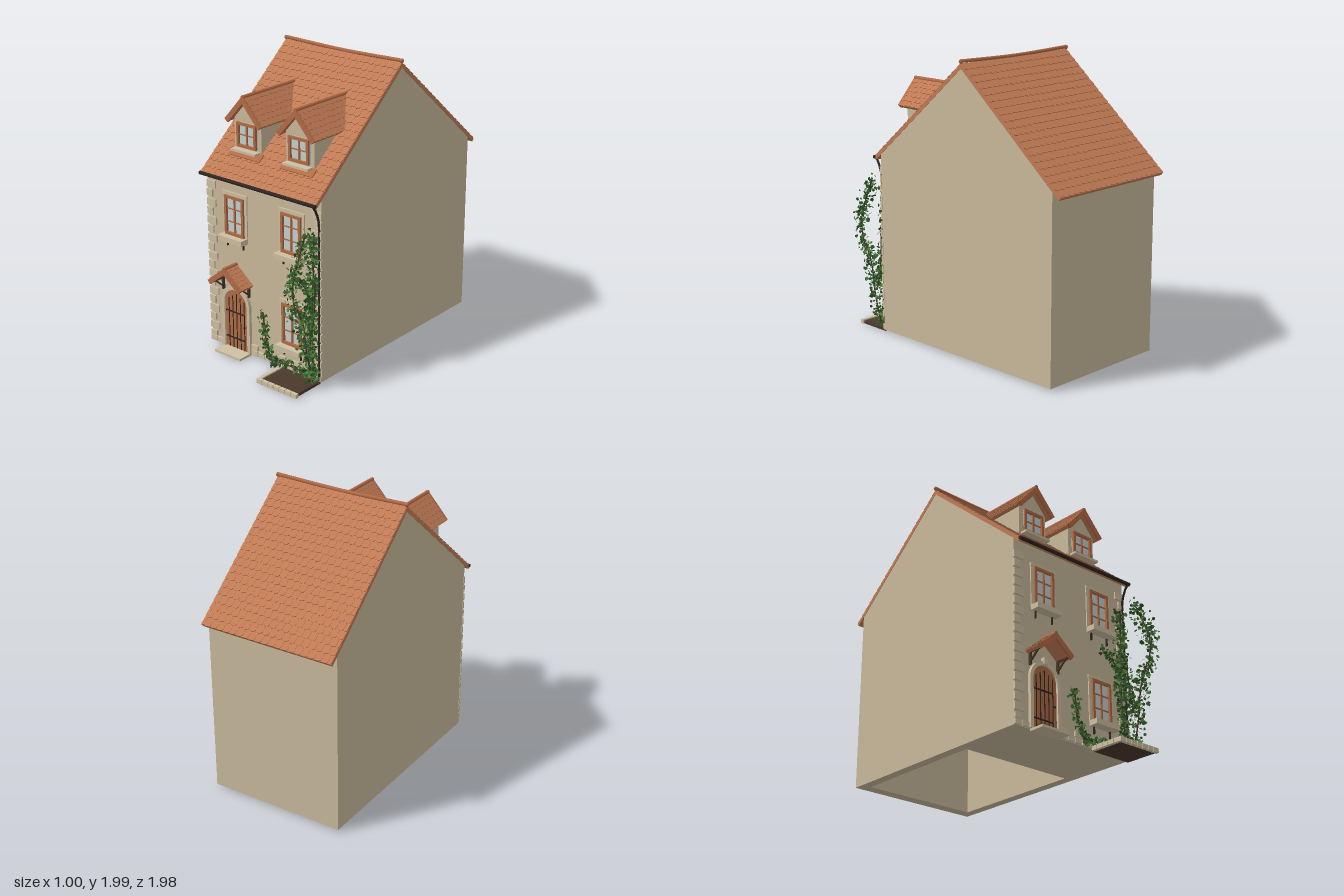
import * as THREE from 'three';
import { mergeGeometries } from 'three/addons/utils/BufferGeometryUtils.js';

const mat = (name, color, extra = {}) => {
  const m = new THREE.MeshStandardMaterial({ color, ...extra });
  m.name = name;
  return m;
};
const M = {
  wall: mat('plaster', 0xc9b99b),
  stone: mat('stone', 0xcfc0a2),
  tile: mat('roof tile', 0xc17b54),
  trim: mat('ridge tile', 0xb56c47),
  wood: mat('painted wood', 0xb06c45),
  glass: mat('glass', 0xc6d0ce),
  iron: mat('iron', 0x2e2622),
  soil: mat('soil', 0x4b382b),
  leaf: mat('leaf green', 0x4a7a38, { side: THREE.DoubleSide }),
  darkLeaf: mat('dark leaf green', 0x2f5527, { side: THREE.DoubleSide }),
};
let seed = 7;
const rnd = () => (seed = (seed * 16807) % 2147483647) / 2147483647;
const spread = (a) => (rnd() + rnd() - 1) * a;
const merge = (list) => mergeGeometries(list.map((g) => (g.index ? g.toNonIndexed() : g)));
const box = (x, y, z, w, h, d) => new THREE.BoxGeometry(w, h, d).translate(x, y, z);
const poly = (pts) => new THREE.Shape(pts.map((p) => new THREE.Vector2(...p)));
const extrude = (shape, depth, seg = 8) =>
  new THREE.ExtrudeGeometry(shape, { depth, bevelEnabled: false, curveSegments: seg });
const tube = (pts, r, seg = 20) =>
  new THREE.TubeGeometry(new THREE.CatmullRomCurve3(pts.map((p) => new THREE.Vector3(...p))), seg, r, 6);
const add = (parent, name, geo, m) => {
  const mesh = new THREE.Mesh(Array.isArray(geo) ? merge(geo) : geo, m);
  mesh.name = name;
  parent.add(mesh);
  return mesh;
};
const F = 0.65, BACK = -0.92, RIDGE_Z = -0.14, RIDGE_Y = 1.955, PITCH = 0.7;

// Sheet of round-ended tiles: x across, +z downslope, top at y = 0
function tiledSlope(w, len, cols, rows) {
  const cw = w / cols, rl = len / rows, out = [box(0, -0.012, len / 2, w, 0.022, len)];
  for (let r = 0; r < rows; r++) {
    const shift = (r % 2) * 0.5;
    for (let c = 0; c < cols + shift; c++) {
      const a = Math.max(-w / 2, -w / 2 + (c - shift) * cw);
      const b = Math.min(w / 2, -w / 2 + (c + 1 - shift) * cw);
      const h = (b - a) / 2 - 0.0006, L = rl * 1.05;
      const s = new THREE.Shape();
      s.moveTo(-h, 0).lineTo(h, 0).lineTo(h, L * 0.8);
      s.quadraticCurveTo(h * 0.7, L, 0, L).quadraticCurveTo(-h * 0.7, L, -h, L * 0.8);
      out.push(extrude(s, 0.005, 2).rotateX(Math.PI / 2).rotateX(-0.08)
        .translate((a + b) / 2, 0.003, r * rl));
    }
  }
  return merge(out);
}

// Small front-facing gable roof with ridge, verge boards and ball finial
function gableRoof(parent, name, cx, apex, zFront, depth, angle, len) {
  const g = new THREE.Group();
  g.name = name;
  g.position.set(cx, apex, zFront);
  for (const s of [-1, 1]) {
    const slope = tiledSlope(depth, len, Math.max(3, Math.round(depth / 0.045)), 6);
    add(g, 'tiledSlope', slope.rotateX(angle).rotateY(s * Math.PI / 2).translate(0, 0, -depth / 2), M.tile);
    add(g, 'vergeBoard', box(0, -0.012, len / 2, 0.016, 0.034, len)
      .rotateX(angle).rotateY(s * Math.PI / 2).translate(0, 0, 0), M.trim);
  }
  add(g, 'ridge', new THREE.CylinderGeometry(0.013, 0.013, depth + 0.012, 8)
    .rotateX(Math.PI / 2).translate(0, 0, -depth / 2), M.trim);
  parent.add(g);
}

// Casement window with glazing bars, stone surround and sill
function windowUnit(parent, cx, y0, y1, w, z, rows, sillW) {
  const g = new THREE.Group(), h = y1 - y0, t = 0.018;
  g.name = 'window';
  g.position.set(cx, y0, z);
  add(g, 'glass', box(0, h / 2, 0.003, w, h, 0.006), M.glass);
  const bars = [-1, 1].map((s) => box(s * (w / 2 - t / 2), h / 2, 0.01, t, h, 0.024));
  for (const y of [t / 2, h - t / 2]) bars.push(box(0, y, 0.01, w, t, 0.024));
  bars.push(box(0, h / 2, 0.007, 0.012, h, 0.016));
  for (let i = 1; i < rows; i++) bars.push(box(0, h * i / rows, 0.006, w, 0.007, 0.014));
  add(g, 'frame', bars, M.wood);
  add(g, 'sill', box(0, -0.018, 0.03, sillW, rows > 2 ? 0.036 : 0.016, rows > 2 ? 0.075 : 0.05), M.stone);
  if (rows > 2) {
    const sur = [-1, 1].map((s) => box(s * (w / 2 + 0.011), h / 2, 0.002, 0.022, h, 0.012));
    sur.push(box(0, h + 0.012, 0.003, w + 0.05, 0.024, 0.016));
    add(g, 'surround', sur, M.stone);
    add(g, 'sillBrackets', [-1, 1].map((s) => box(s * 0.07, -0.06, 0.008, 0.006, 0.05, 0.014)), M.iron);
  }
  parent.add(g);
}

const arch = (w, h) => {
  const s = new THREE.Shape();
  s.moveTo(-w, 0).lineTo(w, 0).lineTo(w, h - w);
  s.absarc(0, h - w, w, 0, Math.PI, false);
  s.lineTo(-w, 0);
  return s;
};

// Leaves scattered along a path
function ivy(parent, pts, n, sp, r) {
  const curve = new THREE.CatmullRomCurve3(pts.map((p) => new THREE.Vector3(...p)));
  const sets = [[], []];
  for (let i = 0; i < n; i++) {
    const p = curve.getPoint(rnd());
    sets[rnd() < 0.5 ? 0 : 1].push(new THREE.CircleGeometry(r * (0.6 + rnd() * 0.6), 5)
      .rotateX(spread(1.6)).rotateY(rnd() * 6.28)
      .translate(Math.min(0.478, p.x + spread(sp[0])), Math.max(0.015, p.y + spread(sp[1])), Math.max(F + 0.006, p.z + spread(sp[2]))));
  }
  add(parent, 'ivyLeaves', sets[0], M.leaf);
  add(parent, 'ivyDarkLeaves', sets[1], M.darkLeaf);
  add(parent, 'ivyStem', tube(pts, 0.005), M.soil);
}

export function createModel() {
  const root = new THREE.Group();
  root.name = 'house';

  // Walls: hollow at the back of the ground plan, solid gable above
  const plan = poly([[-0.485, -F], [0.485, -F], [0.485, -BACK], [-0.485, -BACK]]);
  plan.holes.push(poly([[-0.42, -0.14], [-0.42, 0.84], [0.42, 0.84], [0.42, -0.14]]));
  add(root, 'walls', extrude(plan, 1.185).rotateX(-Math.PI / 2).translate(0, 0.015, 0), M.wall);
  const eave = (z) => RIDGE_Y - 0.022 - Math.abs(z - RIDGE_Z) * Math.tan(PITCH);
  const gable = poly([[-F, 1.2], [-BACK, 1.2], [-BACK, eave(BACK)], [-RIDGE_Z, eave(RIDGE_Z)], [-F, eave(F)]]);
  add(root, 'gable', extrude(gable, 0.97).rotateY(Math.PI / 2).translate(-0.485, 0, 0), M.wall);

  // Main roof
  add(root, 'frontRoof', tiledSlope(0.976, 1.12, 20, 20).rotateX(PITCH).translate(0, RIDGE_Y, RIDGE_Z), M.tile);
  add(root, 'backRoof', tiledSlope(0.976, 1.11, 20, 20).rotateX(PITCH).rotateY(Math.PI)
    .translate(0, RIDGE_Y, RIDGE_Z), M.tile);
  add(root, 'ridge', tube([[-0.495, 1.972, RIDGE_Z], [0, 1.962, RIDGE_Z], [0.495, 1.972, RIDGE_Z]], 0.012), M.trim);
  add(root, 'ridgeEnds', [-1, 1].map((s) => new THREE.SphereGeometry(0.015, 8, 6).translate(s * 0.485, 1.97, RIDGE_Z)), M.trim);

  // Gutter and downpipe
  add(root, 'gutter', new THREE.CylinderGeometry(0.013, 0.013, 0.98, 8).rotateZ(Math.PI / 2).translate(0, 1.235, 0.715), M.iron);
  add(root, 'downpipe', tube([[0.472, 1.23, 0.715], [0.472, 1.19, 0.69], [0.472, 1.12, 0.664], [0.472, 0.9, 0.66], [0.472, 0.02, 0.66]], 0.008, 30), M.iron);

  // Dormers
  for (const s of [-1, 1]) {
    const cx = s * 0.22, hw = 0.115;
    const face = poly([[-hw, 1.375], [hw, 1.375], [hw, 1.62], [0, 1.742], [-hw, 1.62]]);
    add(root, 'dormerWalls', extrude(face, 0.43).translate(cx, 0, 0.11), M.wall);
    gableRoof(root, 'dormerRoof', cx, 1.762, 0.582, 0.49, 0.84, 0.23);
    windowUnit(root, cx, 1.415, 1.58, 0.165, 0.54, 2, 0.21);
    add(root, 'dormerApron', box(0, 0, 0, 0.27, 0.012, 0.06).rotateX(PITCH).translate(cx, 1.374, 0.56), M.trim);
  }

  // Main windows
  for (const [x, y0, y1] of [[-0.24, 0.84, 1.11], [0.245, 0.84, 1.11], [0.245, 0.2, 0.485]])
    windowUnit(root, x, y0, y1, 0.165, F, 3, 0.205);

  // Door with stone arch, iron bars and step
  const door = new THREE.Group();
  door.name = 'door';
  door.position.set(-0.245, 0.02, F);
  root.add(door);
  add(door, 'doorLeaf', extrude(arch(0.1, 0.43), 0.008, 12), M.wood);
  const surround = arch(0.125, 0.455);
  surround.holes.push(new THREE.Path(arch(0.1, 0.43).getPoints(12).reverse()));
  add(door, 'doorSurround', extrude(surround, 0.022, 12), M.stone);
  add(door, 'keystone', box(0, 0.458, 0.016, 0.036, 0.045, 0.032), M.stone);
  const irons = [-2, -1, 0, 1, 2].map((i) => {
    const h = 0.4 - Math.abs(i) * 0.02;
    return box(i * 0.034, h / 2, 0.009, 0.005, h, 0.006);
  });
  for (const y of [0.075, 0.265]) irons.push(box(-0.015, y, 0.012, 0.16, 0.007, 0.008));
  irons.push(new THREE.SphereGeometry(0.008, 8, 6).translate(0.075, 0.18, 0.018));
  add(door, 'doorIronwork', irons, M.iron);
  add(door, 'doorstep', box(0, -0.01, 0.055, 0.23, 0.016, 0.11), M.stone);

  // Hood over the door, on brackets
  gableRoof(root, 'doorHood', -0.245, 0.635, 0.768, 0.118, 0.68, 0.185);
  for (const s of [-1, 1]) {
    const b = -0.245 + s * 0.115;
    add(root, 'hoodBracket', [box(b, 0.475, F + 0.01, 0.012, 0.09, 0.02), box(b, 0.515, F + 0.05, 0.012, 0.014, 0.1),
      box(0, 0, 0, 0.01, 0.11, 0.01).rotateX(0.85).translate(b, 0.478, F + 0.045)], M.soil);
  }

  // Corner quoins and plinth stones
  const stones = [];
  for (const s of [-1, 1])
    for (let i = 0; i < 17; i++) {
      const w = i % 2 ? 0.05 : 0.078;
      stones.push(box(s * (0.488 - w / 2), 0.135 + i * 0.0635, F + 0.003, w, 0.05, 0.016));
    }
  for (const [a, b] of [[-0.488, -0.372], [-0.118, 0.488]]) {
    const n = Math.round((b - a) / 0.06), w = (b - a) / n;
    for (let i = 0; i < n; i++)
      for (const r of [0, 1])
        if (r === 0 || i % 2 === 0) stones.push(box(a + (i + 0.5) * w, 0.037 + r * 0.04, F + 0.004, w - 0.006, 0.036, 0.02));
  }
  add(root, 'quoinsAndPlinth', stones, M.stone);

  // Planting bed with stone edging
  add(root, 'bedSoil', box(0.322, 0.011, 0.77, 0.305, 0.02, 0.235), M.soil);
  const edge = [];
  for (let i = 0; i < 7; i++) edge.push(box(0.172 + i * 0.0485, 0.015, 0.893, 0.044, 0.03, 0.024));
  for (let i = 0; i < 5; i++) edge.push(box(0.16, 0.015, 0.68 + i * 0.047, 0.024, 0.03, 0.042));
  add(root, 'bedEdging', edge, M.stone);

  // Ivy on the front wall
  ivy(root, [[0.44, 0.02, 0.68], [0.42, 0.4, 0.67], [0.43, 0.7, 0.67], [0.44, 1.03, 0.67]], 520, [0.065, 0.04, 0.03], 0.014);
  ivy(root, [[0.42, 0.52, 0.67], [0.37, 0.64, 0.67], [0.27, 0.7, 0.67]], 110, [0.045, 0.05, 0.02], 0.014);
  ivy(root, [[0.1, 0.03, 0.69], [0.03, 0.15, 0.67], [0, 0.37, 0.67]], 120, [0.05, 0.04, 0.02], 0.014);
  ivy(root, [[0.05, 0.05, 0.68], [0.25, 0.06, 0.68], [0.43, 0.06, 0.69]], 120, [0.03, 0.04, 0.03], 0.014);
  // Ivy growing forward beside the bed
  ivy(root, [[0.462, 0.03, 0.71], [0.462, 0.25, 0.77], [0.462, 0.45, 0.8], [0.462, 0.6, 0.86]], 260, [0.016, 0.05, 0.09], 0.013);
  ivy(root, [[0.462, 0.55, 0.87], [0.462, 0.75, 0.9], [0.462, 0.88, 0.86], [0.462, 1.06, 0.78]], 220, [0.014, 0.05, 0.09], 0.013);
  ivy(root, [[0.462, 0.3, 0.74], [0.462, 0.5, 0.7], [0.462, 0.72, 0.69]], 110, [0.016, 0.04, 0.06], 0.013);
  return root;
}
